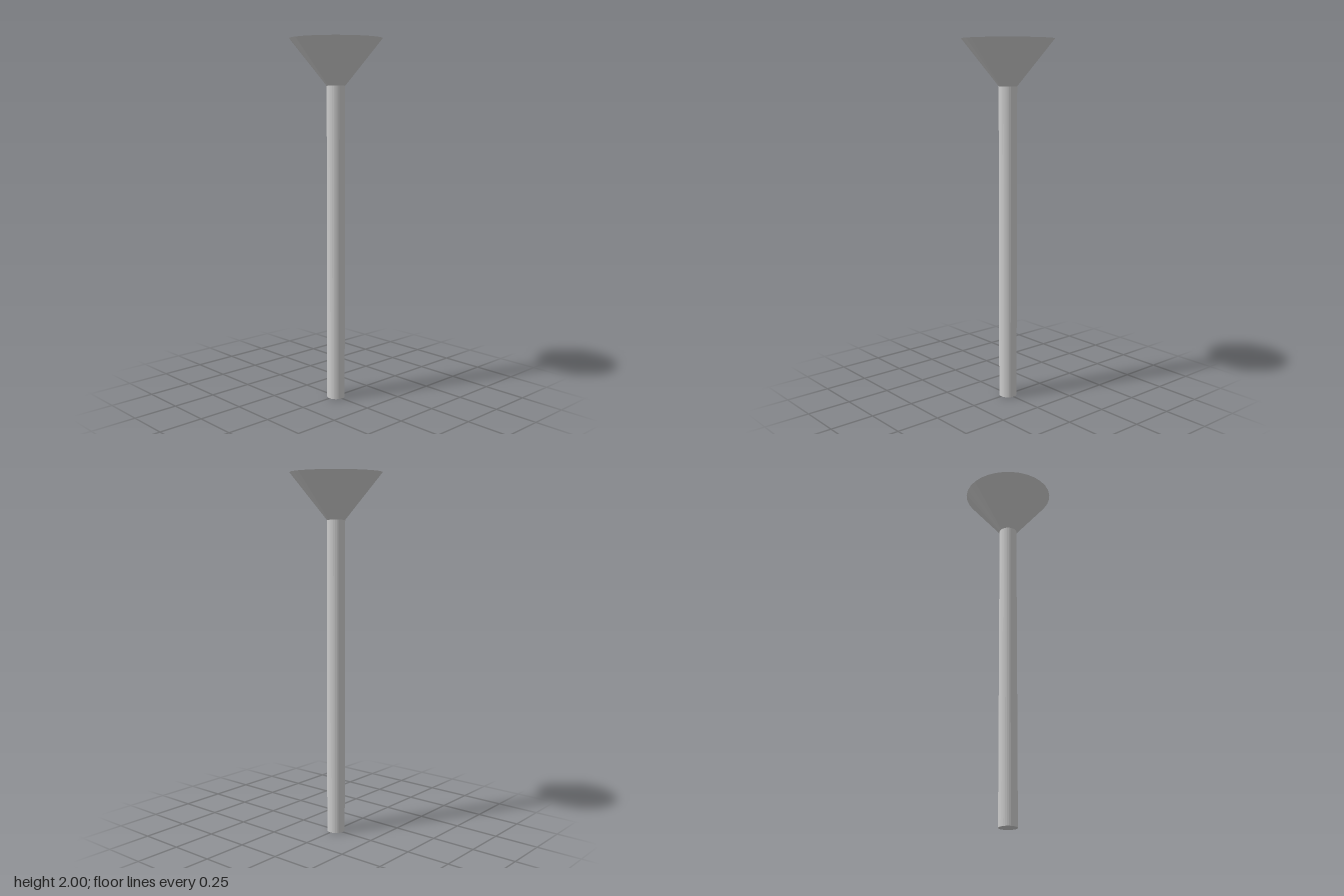
import * as THREE from 'three';

const SIDES = 32;
const NECK_Y = 1.75; // where the shaft meets the head
const TOP_Y = 2;
const SHAFT_RADIUS = 0.05;
const HEAD_RADIUS = 0.25;

export function createModel() {
  const group = new THREE.Group();
  group.name = 'countersunkPin';
  const material = new THREE.MeshStandardMaterial({ color: 0xcccccc, flatShading: true });

  // Faceted round section standing between two heights
  const addSection = (name, bottomRadius, topRadius, y0, y1) => {
    const geometry = new THREE.CylinderGeometry(topRadius, bottomRadius, y1 - y0, SIDES);
    const mesh = new THREE.Mesh(geometry, material);
    mesh.name = name;
    mesh.position.y = (y0 + y1) / 2;
    group.add(mesh);
  };

  // Long straight shaft
  addSection('shaft', SHAFT_RADIUS, SHAFT_RADIUS, 0, NECK_Y);
  // Flared conical head with a flat top
  addSection('head', SHAFT_RADIUS, HEAD_RADIUS, NECK_Y, TOP_Y);

  return group;
}
